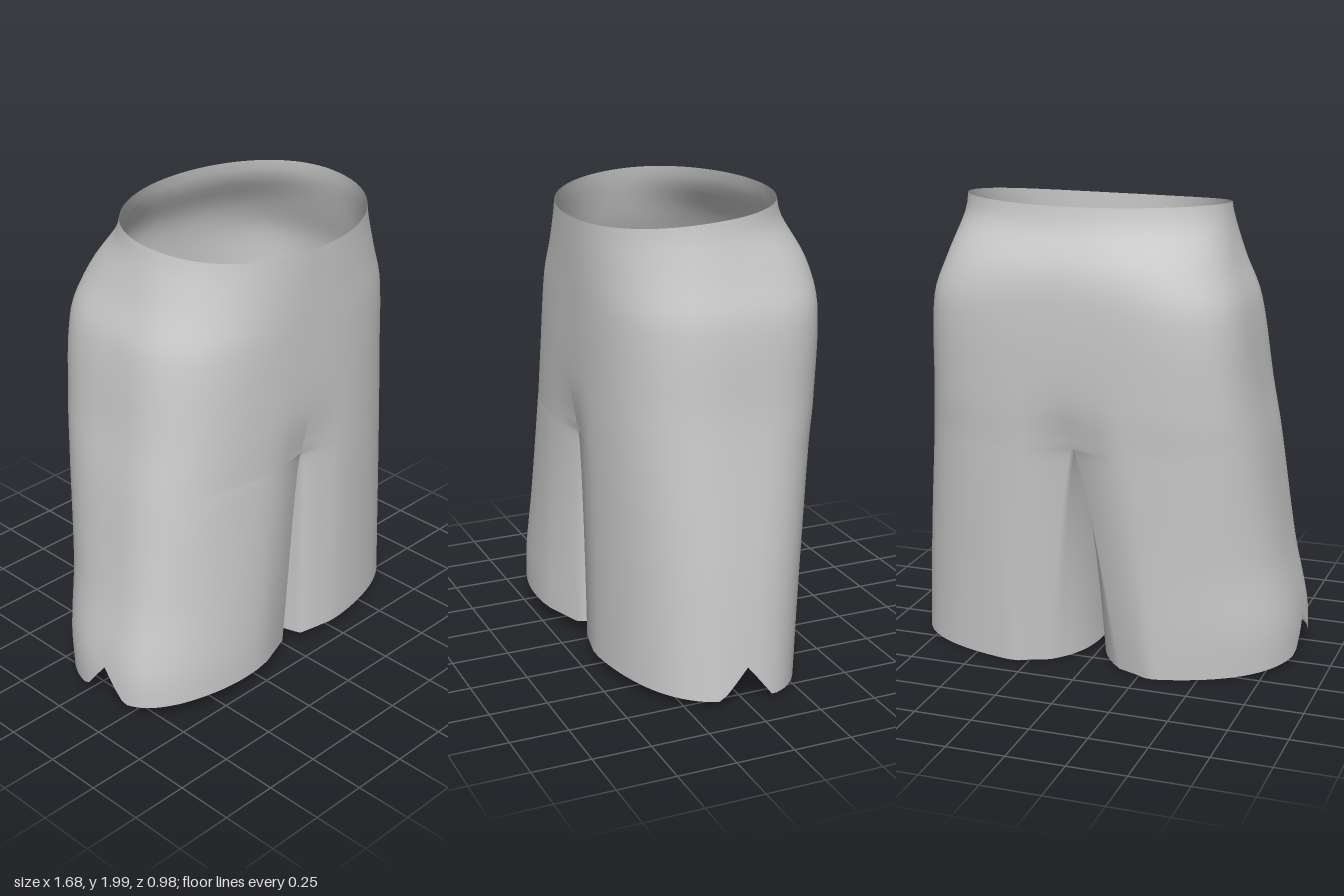
import * as THREE from 'three';
import { mergeVertices } from 'three/addons/utils/BufferGeometryUtils.js';

const { lerp, clamp } = THREE.MathUtils;
const CROTCH = 1.0;

// Outline by height: [y, side x, front z, back z, z of widest point, front and back roundness]
const PROFILE = {
  left: [
    [2.0, 0.635, 0.46, -0.39, 0.03, 2.2, 2.0],
    [1.92, 0.642, 0.46, -0.405, 0.03, 2.2, 2.1],
    [1.75, 0.685, 0.46, -0.48, 0.01, 2.4, 2.7],
    [1.58, 0.73, 0.46, -0.495, 0, 2.6, 3.2],
    [1.2, 0.748, 0.46, -0.48, 0, 2.7, 3.2],
    [1.0, 0.765, 0.458, -0.465, 0, 2.7, 3.0],
    [0.5, 0.812, 0.45, -0.43, 0, 2.6, 2.7],
    [0, 0.842, 0.445, -0.395, 0, 2.6, 2.6],
  ],
  right: [
    [2.0, 0.495, 0.46, -0.39, 0.03, 2.2, 2.0],
    [1.92, 0.51, 0.46, -0.405, 0.03, 2.2, 2.1],
    [1.75, 0.56, 0.46, -0.48, 0.04, 2.4, 2.9],
    [1.58, 0.622, 0.46, -0.495, 0.05, 2.7, 3.6],
    [1.2, 0.68, 0.46, -0.48, 0.07, 2.9, 3.5],
    [1.0, 0.715, 0.458, -0.465, 0.08, 3.0, 3.2],
    [0.5, 0.785, 0.455, -0.43, 0.1, 3.3, 2.7],
    [0.2, 0.843, 0.45, -0.41, 0.12, 3.5, 2.6],
    [0, 0.85, 0.445, -0.395, 0.12, 3.5, 2.5],
  ],
};

// Smooth (Hermite) reading of a profile table
function sample(table, y) {
  let i = 0;
  while (i < table.length - 2 && y < table[i + 1][0]) i++;
  const a = table[i], b = table[i + 1];
  const p = table[Math.max(0, i - 1)], q = table[Math.min(table.length - 1, i + 2)];
  const h = b[0] - a[0], t = clamp((y - a[0]) / h, 0, 1), t2 = t * t, t3 = t2 * t;
  return a.map((v, k) => {
    const m0 = (b[k] - p[k]) / (b[0] - p[0]) * h, m1 = (q[k] - v) / (q[0] - a[0]) * h;
    return v + (b[k] - v) * (3 * t2 - 2 * t3) + m0 * (t3 - 2 * t2 + t) + m1 * (t3 - t2);
  });
}

const seamX = (y) => lerp(0.005, 0.03, clamp(y, 0, 1)) + 0.04 * clamp(y - 1, 0, 1);
const frontGap = (g) => 0.06 * Math.sqrt(g);
const backGap = (g) => 0.16 * Math.pow(g, 0.75);

// Point on the outer cloth; angle runs from front (+90 deg) to back (-90 deg)
function outer(side, y, angle, g) {
  const s = side === 'left' ? 1 : -1;
  const [, edge, zf, zb, zc, nf, nb] = sample(PROFILE[side], y);
  const front = angle >= 0, n = front ? nf : nb;
  const cx = seamX(y), cos = Math.cos(angle);
  const c = cos < 1e-6 ? 0 : Math.pow(cos, 2 / n);
  const d = Math.pow(Math.abs(Math.sin(angle)), 2 / n);
  const out = c * (edge - s * cx);
  // the slit between the legs fades out sideways
  const gap = (front ? frontGap(g) : backGap(g)) * Math.exp(-((out / 0.3) ** 2));
  let z = zc + ((front ? zf : zb) - zc) * d;
  // the cloth is drawn in along the crotch seam and the inner leg corners
  const pull = Math.exp(-((out / 0.12) ** 2) - (Math.max(0, y - 0.95) / 0.2) ** 2);
  z += (front ? -0.04 : 0.06) * pull;
  // the right leg swings slightly forward
  if (front && s < 0) z += 0.045 * Math.sqrt(clamp(1 - y, 0, 1)) * Math.sin(Math.PI * c) * clamp(1.2 - y, 0, 1);
  return new THREE.Vector3(cx + s * (gap + out), y, z);
}

const hemY = (side, z) => lerp(0.005, side === 'left' ? 0.055 : 0.075, clamp((z + 0.4) / 0.86, 0, 1));
const waistY = (z) => 2.0 - 0.07 * clamp((z + 0.4) / 0.86, 0, 1) ** 2;

// Hem height, with a notch at the outer side
function hemAt(side, angle) {
  const z = outer(side, 0, angle, 1).z;
  const notchZ = sample(PROFILE[side], 0)[4];
  return hemY(side, z) + 0.14 * Math.max(0, 1 - Math.abs(z - notchZ) / 0.115);
}

// Point on the outside of one half, from waist (v = 0) through crotch (1) to hem (2)
function outerPoint(side, u, v) {
  const angle = Math.PI * (0.5 - u);
  if (v <= 1) {
    const top = waistY(outer(side, 2, angle, 0).z);
    return outer(side, lerp(top, CROTCH, v), angle, 0);
  }
  const g = v - 1;
  return outer(side, lerp(CROTCH, hemAt(side, angle), g), angle, g);
}

// Point on the inner leg wall, front (r = 0) to back (r = 1)
function innerPoint(side, r, g) {
  const s = side === 'left' ? 1 : -1;
  const arch = CROTCH - 0.1 * Math.sin(Math.PI * r);
  const hem = lerp(hemAt(side, Math.PI / 2), hemAt(side, -Math.PI / 2), r);
  const y = lerp(arch, hem, g);
  const zF = outer(side, y, Math.PI / 2, g).z, zB = outer(side, y, -Math.PI / 2, g).z;
  const gap = frontGap(g) * (1 - r) ** 4 + backGap(g) * r ** 6
    + 0.004 * Math.sin(Math.PI * r) * Math.sqrt(g);
  return new THREE.Vector3(seamX(y) + s * gap, y, lerp(zF, zB, r));
}

// Adds a grid of quads to the shared arrays
function addGrid(data, cols, rows, flip, point) {
  const base = data.pos.length / 3;
  for (let i = 0; i <= rows; i++)
    for (let j = 0; j <= cols; j++) data.pos.push(...point(j / cols, i / rows).toArray());
  for (let i = 0; i < rows; i++)
    for (let j = 0; j < cols; j++) {
      const a = base + i * (cols + 1) + j, b = a + 1, c = a + cols + 1, d = c + 1;
      data.idx.push(...(flip ? [a, b, c, b, d, c] : [a, c, b, b, c, d]));
    }
}

export function createModel() {
  const group = new THREE.Group();
  group.name = 'shorts';
  const data = { pos: [], idx: [] };
  const ease = (t) => Math.pow(t, 1.5);

  for (const side of ['left', 'right']) {
    const mirrored = side === 'right';
    // hip half, outside of the leg, inside of the leg
    addGrid(data, 48, 24, mirrored, (u, t) => outerPoint(side, u, t));
    addGrid(data, 48, 24, mirrored, (u, t) => outerPoint(side, u, 1 + ease(t)));
    addGrid(data, 24, 24, !mirrored, (u, t) => innerPoint(side, u, ease(t)));
  }

  // weld the panels into one smooth cloth
  let geometry = new THREE.BufferGeometry();
  geometry.setAttribute('position', new THREE.Float32BufferAttribute(data.pos, 3));
  geometry.setIndex(data.idx);
  geometry = mergeVertices(geometry, 1e-4);
  geometry.computeVertexNormals();

  const material = new THREE.MeshStandardMaterial({ color: 0xcccccc, side: THREE.DoubleSide });
  const cloth = new THREE.Mesh(geometry, material);
  cloth.name = 'shortsCloth';
  group.add(cloth);
  return group;
}
